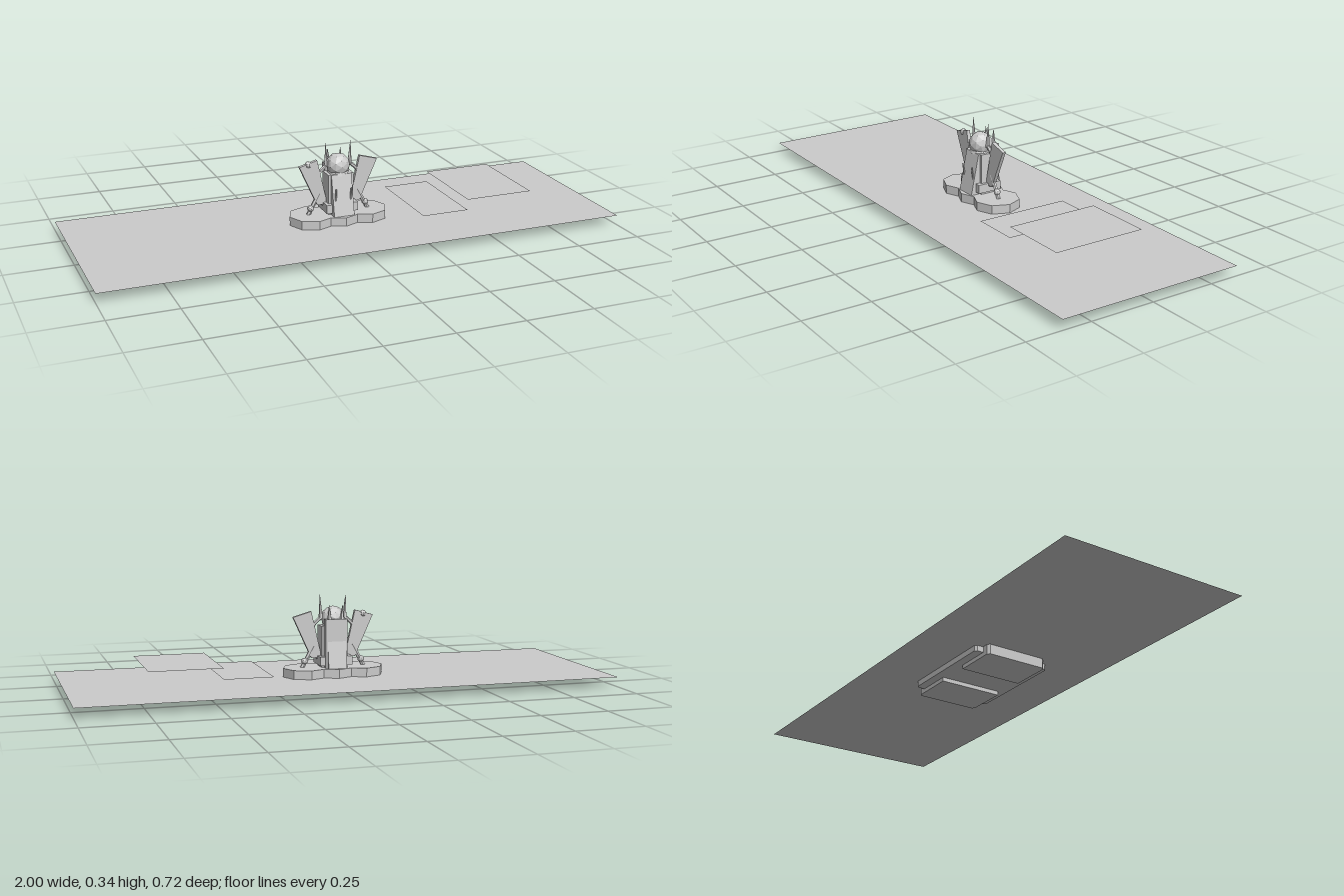
import * as THREE from 'three';

const grey = new THREE.MeshStandardMaterial({ color: 0xcccccc, flatShading: true, side: THREE.DoubleSide });

export function createModel() {
  const root = new THREE.Group();
  const add = (name, geo, x = 0, y = 0, z = 0) => {
    const m = new THREE.Mesh(geo, grey);
    m.name = name;
    m.position.set(x, y, z);
    root.add(m);
    return m;
  };
  // box given by its lower and upper corners
  const box = (name, a, b) => add(name,
    new THREE.BoxGeometry(b[0] - a[0], b[1] - a[1], b[2] - a[2]),
    (a[0] + b[0]) / 2, (a[1] + b[1]) / 2, (a[2] + b[2]) / 2);
  // flat outline given a thickness, centred on its own plane
  const slab = (pts, depth) => {
    const g = new THREE.ExtrudeGeometry(
      new THREE.Shape(pts.map(p => new THREE.Vector2(...p))), { depth, bevelEnabled: false });
    return g.translate(0, 0, -depth / 2);
  };
  // rod between two points
  const rod = (name, a, b, r0, r1, sides = 6) => {
    const A = new THREE.Vector3(...a), B = new THREE.Vector3(...b), d = B.clone().sub(A);
    const m = add(name, new THREE.CylinderGeometry(r1, r0, d.length(), sides));
    m.position.copy(A.add(B).multiplyScalar(0.5));
    m.quaternion.setFromUnitVectors(new THREE.Vector3(0, 1, 0), d.normalize());
    return m;
  };
  const card = (name, x0, x1, halfZ, y) => add(name,
    new THREE.PlaneGeometry(x1 - x0, 2 * halfZ).rotateX(-Math.PI / 2), (x0 + x1) / 2, y, 0);

  // Flat sheets
  card('groundSheet', -1, 1, 0.362, 0.037);
  card('lowerCard', 0.272, 0.455, 0.181, 0.072);
  card('upperCard', 0.455, 0.722, 0.181, 0.113);

  // Base: two chamfered feet joined by a deeper cross slab
  const footOutline = [[-0.083, -0.122], [0.074, -0.122], [0.083, -0.113], [0.083, 0.113],
    [0.074, 0.122], [-0.083, 0.122]];
  for (const s of [-1, 1]) {
    const foot = add('baseFoot', slab(footOutline, 0.037).rotateX(-Math.PI / 2), s * 0.149, 0.0185, 0);
    if (s < 0) foot.rotation.y = Math.PI;
  }
  add('crossSlab', slab([[-0.2, -0.147], [-0.192, -0.155], [0.192, -0.155], [0.2, -0.147],
    [0.2, 0.147], [0.192, 0.155], [-0.192, 0.155], [-0.2, 0.147]], 0.021).rotateX(-Math.PI / 2), 0, 0.0255, 0);

  // Plinth of three overlapping octagons
  for (const x of [-0.106, 0, 0.106])
    add('plinth', new THREE.CylinderGeometry(0.087, 0.087, 0.033, 8), x, 0.0535, 0);

  // Central tower with sloping front and rear
  box('towerCore', [-0.05, 0.07, -0.028], [0.05, 0.225, 0.03]);
  box('towerSkirt', [-0.062, 0.08, -0.048], [0.062, 0.113, 0.048]);
  box('backPanel', [-0.042, 0.07, -0.053], [0.042, 0.253, -0.027]);
  add('frontSlope', slab([[-0.068, 0.07], [-0.036, 0.225], [0, 0.225], [0, 0.07]], 0.08)
    .rotateY(Math.PI / 2));
  add('rearSlope', slab([[0.068, 0.07], [0.053, 0.17], [0.03, 0.17], [0.03, 0.07]], 0.07)
    .rotateY(Math.PI / 2));

  // Faceted dome on a short collar
  add('collar', new THREE.CylinderGeometry(0.036, 0.042, 0.02, 10), 0, 0.229, 0);
  add('dome', new THREE.IcosahedronGeometry(0.045, 1), 0, 0.253, 0);

  for (const s of [-1, 1]) {
    // Slanted side panel and ring arc
    add('sidePanel', slab([[s * 0.085, 0.28], [s * 0.155, 0.26], [s * 0.085, 0.105], [s * 0.045, 0.105]], 0.014));
    const arc = add('ringArc', new THREE.TorusGeometry(0.092, 0.007, 6, 12, 2.2), 0, 0.175, 0);
    arc.rotation.z = s > 0 ? -1.1 : Math.PI - 1.1;
    // Spikes
    rod('tallSpike', [s * 0.046, 0.25, 0], [s * 0.05, 0.341, 0], 0.009, 0.0005, 5);
    rod('rearSpike', [s * 0.024, 0.25, -0.04], [s * 0.026, 0.306, -0.04], 0.009, 0.0005, 5);
    // Side struts with ball joints
    rod('strut', [s * 0.12, 0.068, 0], [s * 0.075, 0.15, 0], 0.008, 0.008);
    add('strutBall', new THREE.IcosahedronGeometry(0.013, 1), s * 0.11, 0.093, 0);
    // Small rods before the tower
    rod('frontRod', [s * 0.03, 0.113, 0.05], [s * 0.03, 0.175, 0.06], 0.004, 0.003);
  }
  add('panelKnob', new THREE.SphereGeometry(0.013, 8, 6), -0.118, 0.265, 0);
  return root;
}
